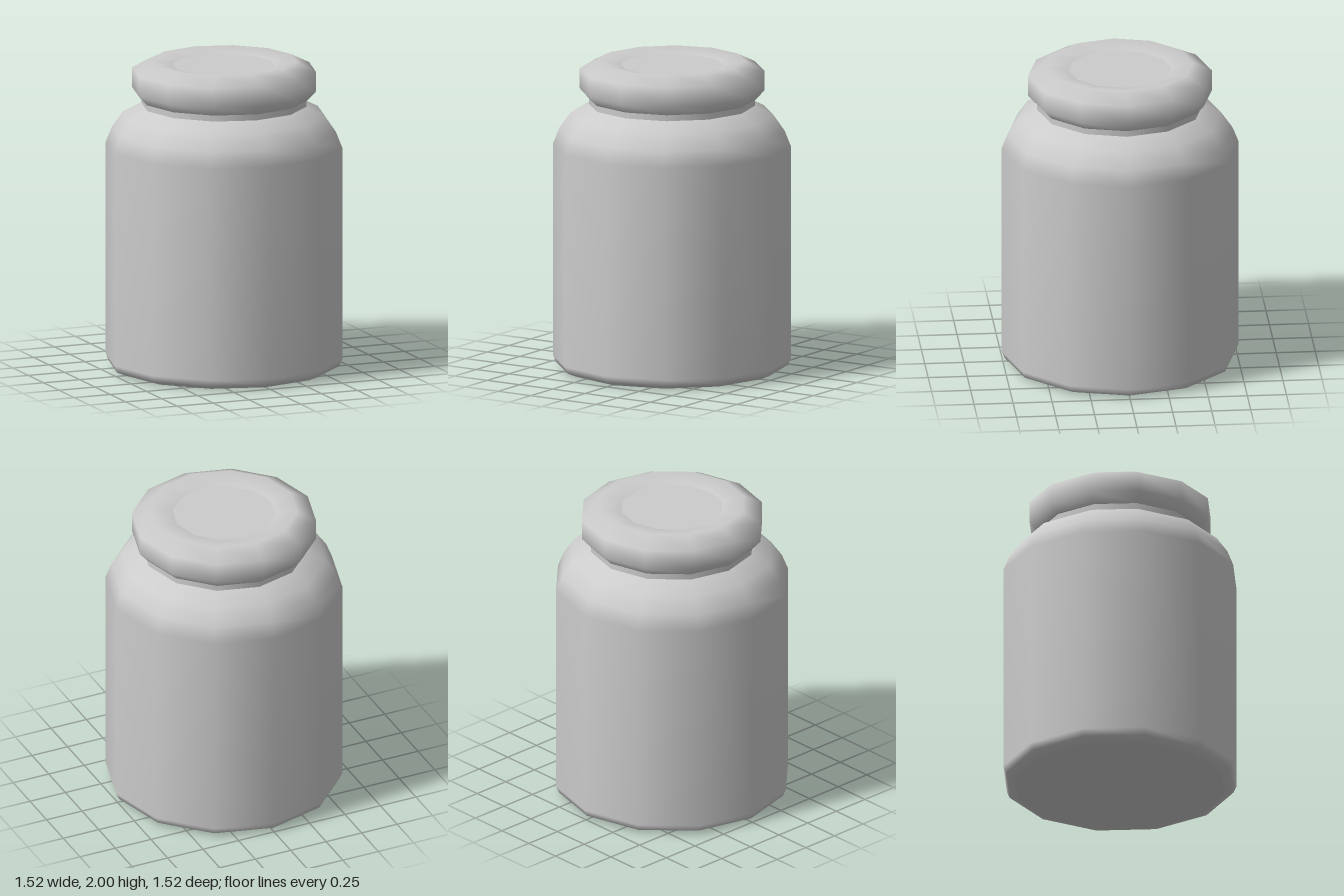
import * as THREE from 'three';

const SIDES = 12;
const material = new THREE.MeshStandardMaterial({ color: 0xcccccc });

// Smooth surface of revolution; profile runs from bottom to top as [radius, height]
function turned(name, profile) {
  const points = profile.map(([r, y]) => new THREE.Vector2(r, y));
  const mesh = new THREE.Mesh(new THREE.LatheGeometry(points, SIDES), material);
  mesh.name = name;
  return mesh;
}

// Flat disc closing a turned part, facing up or down
function disc(name, radius, y, up) {
  const geometry = new THREE.CircleGeometry(radius, SIDES);
  geometry.rotateX(up ? -Math.PI / 2 : Math.PI / 2);
  const mesh = new THREE.Mesh(geometry, material);
  mesh.name = name;
  mesh.position.y = y;
  return mesh;
}

export function createModel() {
  const jar = new THREE.Group();
  jar.name = 'jar';

  // Body with a bevelled foot and rounded shoulder
  jar.add(turned('body', [
    [0.68, 0], [0.74, 0.025], [0.76, 0.07], [0.76, 1.45],
    [0.72, 1.55], [0.65, 1.65], [0.53, 1.71],
  ]));
  jar.add(disc('base', 0.68, 0, false));

  // Short neck below the lid
  jar.add(turned('neck', [[0.53, 1.71], [0.53, 1.75]]));

  // Lid with a flared lower edge and a shallow dished top
  const lid = new THREE.Group();
  lid.name = 'lid';
  lid.add(turned('lidRim', [
    [0.535, 1.75], [0.59, 1.81], [0.59, 1.94], [0.47, 2], [0.33, 1.97],
  ]));
  lid.add(disc('lidPanel', 0.33, 1.97, true));
  lid.add(disc('lidUnderside', 0.535, 1.75, false));
  jar.add(lid);

  return jar;
}
